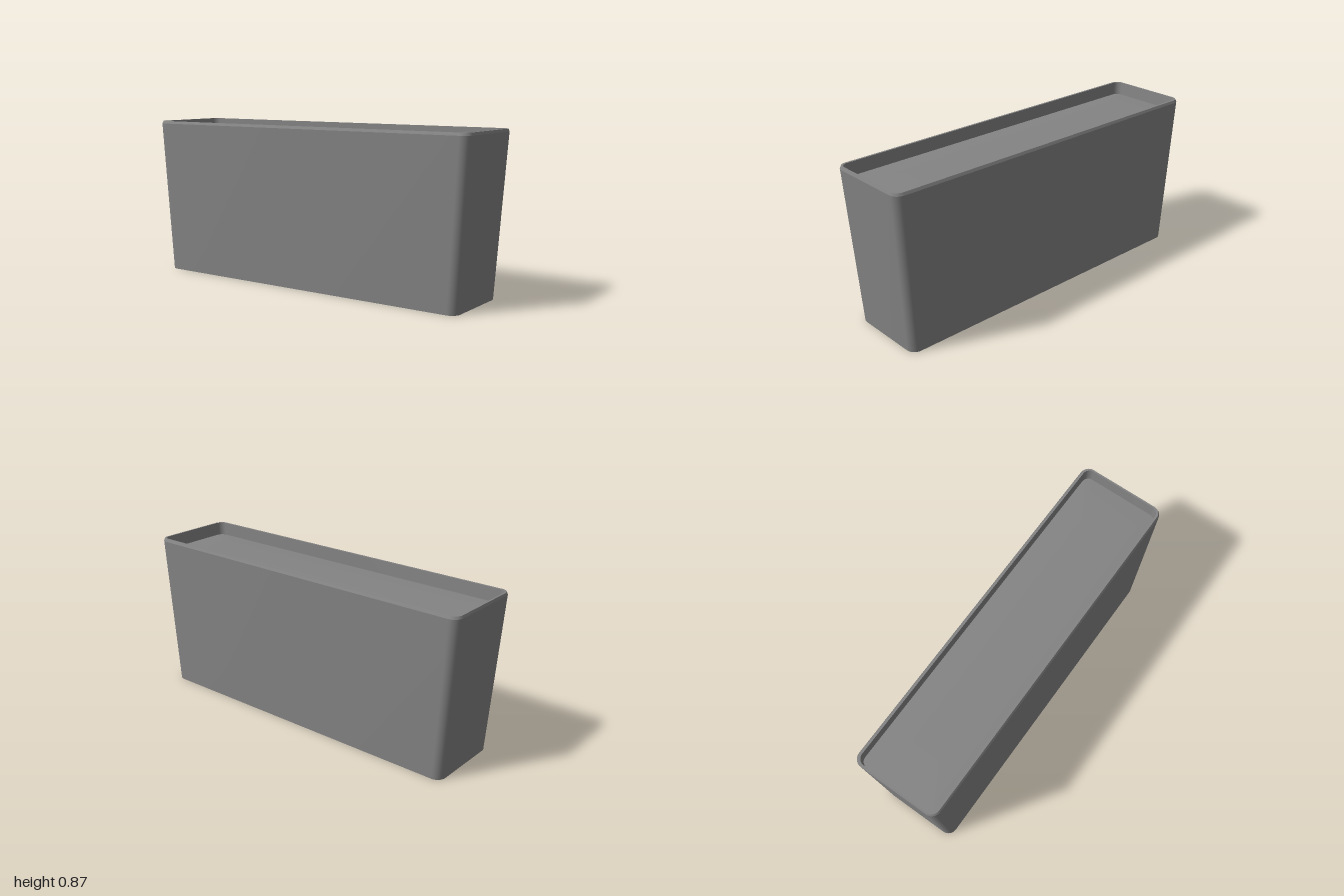
import * as THREE from 'three';
import { toCreasedNormals } from 'three/addons/utils/BufferGeometryUtils.js';

const CORNER_STEPS = 8;

// Rounded rectangle in the xz plane: half sizes hx, hz and corner radius r
function ring([y, hx, hz, r]) {
  const points = [];
  [[1, 1], [-1, 1], [-1, -1], [1, -1]].forEach(([sx, sz], quarter) => {
    for (let i = 0; i <= CORNER_STEPS; i++) {
      const a = (quarter + i / CORNER_STEPS) * Math.PI / 2;
      points.push([sx * (hx - r) + r * Math.cos(a), y, sz * (hz - r) + r * Math.sin(a)]);
    }
  });
  return points;
}

// Skin a list of sections; the end is always closed with a fan, the start on request
function loft(sections, capStart) {
  const rings = sections.map(ring);
  const n = rings[0].length;
  const position = [];
  const triangle = (...corners) => corners.forEach((p) => position.push(...p));
  const first = rings[0], last = rings[rings.length - 1];
  for (let i = 0; i < n; i++) {
    const j = (i + 1) % n;
    if (capStart) triangle([0, first[0][1], 0], first[i], first[j]);
    for (let k = 0; k < rings.length - 1; k++) {
      const low = rings[k], high = rings[k + 1];
      triangle(low[i], high[i], low[j]);
      triangle(low[j], high[i], high[j]);
    }
    triangle(last[i], [0, last[0][1], 0], last[j]);
  }
  const geometry = new THREE.BufferGeometry();
  geometry.setAttribute('position', new THREE.Float32BufferAttribute(position, 3));
  return toCreasedNormals(geometry, 0.35);
}

export function createModel() {
  const group = new THREE.Group();
  group.name = 'planterBox';
  const material = new THREE.MeshStandardMaterial({ color: 0x848484 });
  const add = (name, geometry) => {
    const mesh = new THREE.Mesh(geometry, material);
    mesh.name = name;
    group.add(mesh);
  };

  // Tapered pot: underside, outer wall, bevelled rim, inner wall, inner floor
  add('pot', loft([
    [0, 0.225, 0.945, 0.05],
    [0.858, 0.245, 1.0, 0.05],
    [0.872, 0.238, 0.995, 0.045],
    [0.872, 0.226, 0.986, 0.038],
    [0.03, 0.205, 0.925, 0.034],
  ], true));

  // Filling just below the rim, very slightly mounded
  add('soil', loft([
    [0.8, 0.2255, 0.983, 0.036],
    [0.804, 0.17, 0.9, 0.03],
    [0.806, 0.09, 0.75, 0.02],
  ], false));

  return group;
}
